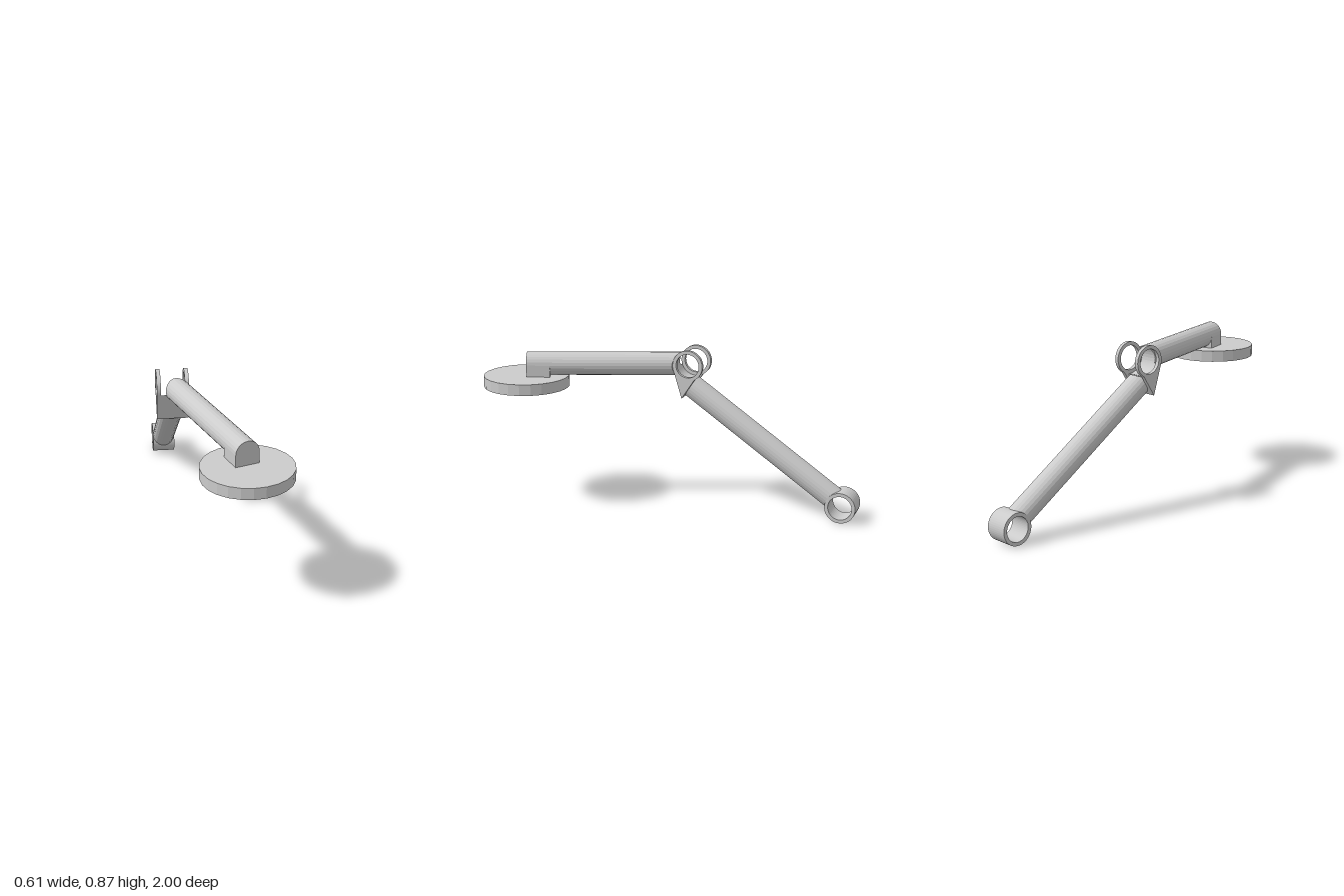
import * as THREE from 'three';

const material = new THREE.MeshStandardMaterial({ color: 0xcccccc, flatShading: true });
const R = 0.0625;          // tube radius
const HUB = 0.083;         // outer radius of the hinge rings
const BORE = 0.064;        // hinge hole radius
const ARM_X = -0.2225;     // centre plane of the lower arm
const HINGE = new THREE.Vector3(ARM_X, 0.787, -0.072);
const FOOT = new THREE.Vector3(ARM_X, 0.083, -0.917);

function addMesh(parent, name, geometry) {
  const mesh = new THREE.Mesh(geometry, material);
  mesh.name = name;
  parent.add(mesh);
  return mesh;
}

// Solid rod along z whose two ends follow the rules start(x, y) and end(x, y)
function rodGeometry(start, end, sides = 24) {
  const pos = [], index = [];
  for (const rule of [start, end]) {
    for (let i = 0; i < sides; i++) {
      const t = (i / sides) * Math.PI * 2;
      const x = R * Math.sin(t), y = R * Math.cos(t);
      pos.push(x, y, rule(x, y));
    }
  }
  for (let i = 0; i < sides; i++) {
    const j = (i + 1) % sides;
    index.push(sides + i, sides + j, i, sides + j, j, i);
  }
  // Caps are strips running across x, so saddle cuts stay clean
  for (let i = 0; i < sides / 2; i++) {
    const l0 = (sides - i) % sides, l1 = sides - i - 1, r0 = i, r1 = i + 1;
    index.push(sides + l0, sides + l1, sides + r1, sides + l0, sides + r1, sides + r0);
    index.push(l0, r1, l1, l0, r0, r1);
  }
  const g = new THREE.BufferGeometry();
  g.setAttribute('position', new THREE.Float32BufferAttribute(pos, 3));
  g.setIndex(index);
  g.computeVertexNormals();
  return g;
}

// Side profile (drawn in z, y) extruded across x and centred on x = 0
function sideExtrude(shape, width) {
  const g = new THREE.ExtrudeGeometry(shape, { depth: width, bevelEnabled: false, curveSegments: 24 });
  g.translate(0, 0, -width / 2);
  g.rotateY(-Math.PI / 2);
  return g;
}

function bore() {
  return new THREE.Path().absarc(0, 0, BORE, 0, Math.PI * 2, true);
}

export function createModel() {
  const model = new THREE.Group();
  model.name = 'jointedArm';
  const deg = THREE.MathUtils.degToRad;

  // Round pad at the end of the upper arm
  const pad = addMesh(model, 'pad', new THREE.CylinderGeometry(0.23, 0.23, 0.06, 24));
  pad.position.set(0.07, 0.691, 0.77);

  // Upper arm, hollowed at the back to clear the hinge
  const yaw = deg(19.3);
  const upper = new THREE.Group();
  upper.name = 'upperArm';
  upper.position.set(0.07, 0.784, 0.765);
  upper.rotation.y = yaw;
  model.add(upper);
  const reach = HINGE.z - upper.position.z;
  addMesh(upper, 'upperTube', rodGeometry(
    (x, y) => (reach + Math.sqrt(HUB * HUB - y * y) + x * Math.sin(yaw)) / Math.cos(yaw),
    () => 0));

  // Square foot joining the tube to the pad
  const block = addMesh(upper, 'padMount', new THREE.BoxGeometry(R * 2, R + 0.002, 0.126));
  block.position.set(0, -R / 2 - 0.001, -0.063);

  // Lower arm, seated on the foot hub and cut round the hinge at the top
  const lower = new THREE.Group();
  lower.name = 'lowerArm';
  lower.position.copy(FOOT);
  lower.rotation.x = -deg(34.4);
  model.add(lower);
  const hingeCut = (x, y) => {
    const cut = 0.0725 - Math.sqrt(Math.max(0, HUB * HUB - (y - 0.102) ** 2));
    return 1.021 + Math.min(cut, 0.036 * (y + R) / 0.0825);
  };
  addMesh(lower, 'lowerTube', rodGeometry((x, y) => Math.sqrt(0.081 ** 2 - y * y), hingeCut));

  // Foot hub
  const ring = new THREE.Shape().absarc(0, 0, HUB, 0, Math.PI * 2, false);
  ring.holes.push(bore());
  addMesh(model, 'footHub', sideExtrude(ring, R * 2)).position.copy(FOOT);

  // Pair of hinge cheeks: rings tapering to a point below
  const front = deg(-17), back = deg(242.5);
  const cheek = new THREE.Shape();
  cheek.moveTo(0.032, -0.18);
  cheek.lineTo(HUB * Math.cos(front), HUB * Math.sin(front));
  cheek.absarc(0, 0, HUB, front, back, false);
  cheek.closePath();
  cheek.holes.push(bore());
  for (const side of [-1, 1]) {
    const mesh = addMesh(model, side > 0 ? 'leftCheek' : 'rightCheek', sideExtrude(cheek, 0.021));
    mesh.position.copy(HINGE);
    mesh.position.x += side * (R + 0.0105);
  }

  // Web between the cheeks, hollowed round the hinge
  const web = new THREE.Shape();
  web.moveTo(0.032, -0.18);
  web.lineTo(HUB * Math.cos(front), HUB * Math.sin(front));
  web.absarc(0, 0, HUB, front, deg(-95), true);
  web.lineTo(-0.003, -0.125);
  web.closePath();
  addMesh(model, 'hingeWeb', sideExtrude(web, R * 2)).position.copy(HINGE);

  return model;
}
